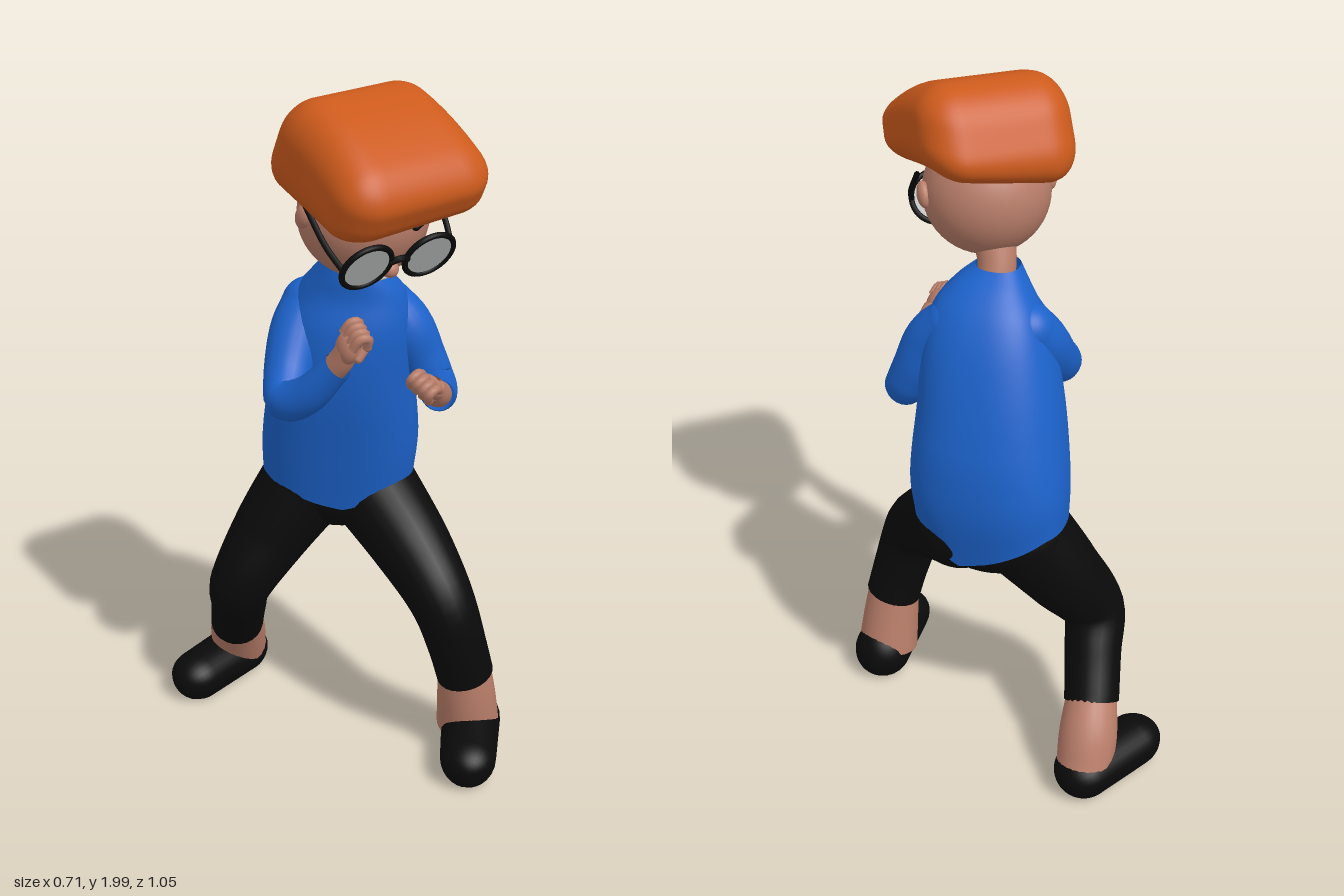
import * as THREE from 'three';
import { mergeVertices } from 'three/addons/utils/BufferGeometryUtils.js';

const mat = (color) => new THREE.MeshStandardMaterial({ color, side: THREE.DoubleSide });
const SKIN = mat(0xb87d69), BLUE = mat(0x1c62ca), BLACK = mat(0x0a0a0a);
const HAIR = mat(0xcc5a1c), LENS = mat(0xb8bcba), WHITE = mat(0xe6e0e0), LIP = mat(0x7a3a38);
const V = (x, y, z) => new THREE.Vector3(x, y, z);
const YAW = -0.74; // the body is turned towards its right

function add(parent, name, geo, material, pos = [0, 0, 0], scale = [1, 1, 1]) {
  const m = new THREE.Mesh(geo, material);
  m.name = name;
  m.position.set(...pos);
  m.scale.set(...scale);
  parent.add(m);
  return m;
}

const ball = (parent, name, material, pos, scale) =>
  add(parent, name, new THREE.SphereGeometry(1, 32, 24), material, pos, scale);

// move every vertex by a rule, then smooth the normals
function reshape(geo, rule) {
  const p = geo.attributes.position, v = V(0, 0, 0);
  for (let i = 0; i < p.count; i++) {
    v.fromBufferAttribute(p, i);
    rule(v, i);
    p.setXYZ(i, v.x, v.y, v.z);
  }
  geo.deleteAttribute('normal');
  geo.deleteAttribute('uv');
  const out = mergeVertices(geo, 1e-5);
  out.computeVertexNormals();
  return out;
}

// tube with changing thickness; rows are [x, y, z, radius], start is rounded
function limb(parent, name, material, rows) {
  const n = 28, sides = 24;
  const curve = new THREE.CatmullRomCurve3(rows.map((r) => V(r[0], r[1], r[2])));
  const radii = new THREE.CatmullRomCurve3(rows.map((r, i) => V(r[3], i, 0)), false, 'catmullrom');
  const geo = reshape(new THREE.TubeGeometry(curve, n, 1, sides), (v, i) => {
    const u = Math.floor(i / (sides + 1)) / n;
    const c = curve.getPointAt(u);
    v.sub(c).multiplyScalar(radii.getPoint(curve.getUtoTmapping(u)).x).add(c);
  });
  const g = new THREE.Group();
  g.name = name;
  parent.add(g);
  add(g, name + 'Tube', geo, material);
  const [x, y, z, r] = rows[0];
  ball(g, name + 'Joint', material, [x, y, z], [r, r, r]);
}

// sweater body: stacked soft rectangles, hem pointed at front and back
function torso(parent) {
  const rows = [ // y, centre x, centre z, half width, half depth
    [0.825, 0.057, -0.1, 0.218, 0.16], [0.95, 0.055, -0.087, 0.222, 0.177],
    [1.15, 0.033, -0.047, 0.2, 0.172], [1.31, 0.025, -0.01, 0.178, 0.148],
    [1.41, 0.02, 0.01, 0.148, 0.112], [1.47, 0, 0.03, 0.105, 0.085], [1.515, -0.028, 0.045, 0.06, 0.055],
  ];
  const a = new THREE.CatmullRomCurve3(rows.map((r) => V(r[0], r[1], r[2])), false, 'catmullrom');
  const b = new THREE.CatmullRomCurve3(rows.map((r) => V(r[3], r[4], 0)), false, 'catmullrom');
  const point = (angle, depth) => depth * Math.max(0, 1 - Math.abs(angle) / 1.2);
  const soft = (k) => Math.sign(k) * Math.abs(k) ** 0.84;
  const geo = reshape(new THREE.CylinderGeometry(1, 1, 1, 60, 36, true), (v) => {
    const t = v.y + 0.5, c = a.getPoint(t), s = b.getPoint(t), low = Math.max(0, 1 - t * 4);
    const dip = low * (point(Math.atan2(v.x, v.z) - 0.1, 0.075) + point(Math.atan2(v.x, -v.z) - 0.2, 0.115));
    const p = V(soft(v.x) * s.x, 0, soft(v.z) * s.y).applyAxisAngle(V(0, 1, 0), YAW);
    v.set(c.y + p.x, c.x - dip, c.z + p.z);
    v.lerp(V(0.057, v.y, -0.1), dip * 1.3);
  });
  add(parent, 'sweaterBody', geo, BLUE);
}

// soft shoe from heel to toe, flat underneath
function shoe(parent, name, heel, toe, heelRise) {
  const [hx, hz] = heel, [tx, tz] = toe;
  const len = Math.hypot(tx - hx, tz - hz), r = 0.087;
  const cap = new THREE.CapsuleGeometry(r, len, 10, 28, 6).rotateX(Math.PI / 2);
  const geo = reshape(cap, (v) => {
    const t = THREE.MathUtils.clamp(v.z / len + 0.5, 0, 1);
    v.y = v.y < 0 ? Math.max(v.y, -0.072 + 0.1 * (v.x * v.x + Math.max(0, Math.abs(v.z) - len / 2) ** 2) / r)
      : v.y * THREE.MathUtils.lerp(heelRise, 0.74, t);
    v.x *= 1 - 0.07 * t;
  });
  const m = add(parent, name, geo, BLACK, [(hx + tx) / 2, 0.075, (hz + tz) / 2]);
  m.rotation.y = Math.atan2(tx - hx, tz - hz);
}

// loose fist: y runs along the forearm, fingers curl towards local +x
function fist(parent, name, pos, along, palm) {
  const g = new THREE.Group();
  g.name = name;
  const y = V(...along).normalize(), z = V(...palm).cross(y).normalize();
  const x = y.clone().cross(z);
  g.quaternion.setFromRotationMatrix(new THREE.Matrix4().makeBasis(x, y, z));
  g.position.set(...pos);
  parent.add(g);
  ball(g, 'palm', SKIN, [0, -0.008, 0], [0.027, 0.045, 0.042]);
  for (let i = 0; i < 4; i++) {
    const s = (i - 1.5) * 0.021;
    const path = new THREE.CatmullRomCurve3([
      V(-0.008, 0.015, s), V(0.002, 0.05, s), V(0.024, 0.052, s), V(0.032, 0.024, s)]);
    add(g, 'finger' + (i + 1), new THREE.TubeGeometry(path, 10, 0.0125, 10), SKIN);
    ball(g, 'fingerTip' + (i + 1), SKIN, [0.032, 0.024, s], [0.0125, 0.0125, 0.0125]);
  }
  const thumb = add(g, 'thumb', new THREE.CapsuleGeometry(0.012, 0.035, 6, 12), SKIN, [0.024, 0.004, 0.034]);
  thumb.rotation.set(-0.4, 0, -0.5);
}

function head(parent) {
  const g = new THREE.Group();
  g.name = 'head';
  g.position.set(-0.04, 1.68, 0.15);
  g.rotation.set(0.5, -0.08, 0, 'YXZ');
  parent.add(g);
  ball(g, 'skull', SKIN, [0, 0, 0], [0.174, 0.17, 0.166]);
  ball(g, 'nose', SKIN, [0, -0.04, 0.165], [0.024, 0.022, 0.026]);

  // swept hair: soft block, lower edge rising to the front, fuller on its right
  const w = 0.438, h = 0.26, d = 0.445, r = 0.1;
  const inner = V(w / 2 - r, h / 2 - r, d / 2 - r), core = V(0, 0, 0);
  const hair = reshape(new THREE.BoxGeometry(w, h, d, 24, 18, 24), (v) => {
    core.copy(v).clamp(inner.clone().negate(), inner);
    v.sub(core).setLength(r).add(core);
    const f = THREE.MathUtils.clamp(v.z / d + 0.5, 0, 1), t = v.y / h + 0.5, s = v.x / w;
    const low = -0.04 + 0.15 * Math.pow(f, 0.75 - 0.7 * s) + 0.04 * s * f;
    const top = 0.262 + 0.03 * Math.sin(Math.PI * f) + 0.012 * f;
    v.y = low + t * (top - low);
    v.x *= 0.96 + 0.06 * f - 0.03 * t;
    v.z -= 0.012 * f;
  });
  add(g, 'hair', hair, HAIR, [0, 0, -0.001]).rotation.y = 0.06;

  // glasses, ears and brows, one of each per side
  for (const s of [-1, 1]) {
    const side = s > 0 ? 'left' : 'right';
    add(g, side + 'Rim', new THREE.TorusGeometry(0.069, 0.008, 10, 40), BLACK, [s * 0.092, 0.008, 0.185]);
    const lens = add(g, side + 'Lens', new THREE.CylinderGeometry(0.068, 0.068, 0.005, 36), LENS, [s * 0.092, 0.008, 0.185]);
    lens.rotation.x = Math.PI / 2;
    const arm = new THREE.CatmullRomCurve3([V(s * 0.16, 0.012, 0.185), V(s * 0.178, 0.03, 0.11), V(s * 0.187, 0.066, -0.02)]);
    add(g, side + 'Temple', new THREE.TubeGeometry(arm, 16, 0.008, 8), BLACK);
    ball(g, side + 'Ear', SKIN, [s * 0.176, 0.012, -0.01], [0.018, 0.036, 0.024]);
    const brow = add(g, side + 'Brow', new THREE.CapsuleGeometry(0.01, 0.06, 6, 12), BLACK, [s * 0.075, 0.085, 0.137]);
    brow.rotation.set(0, s * 0.45, Math.PI / 2 + s * 0.1);
  }
  const bridge = new THREE.CatmullRomCurve3([V(-0.026, 0.012, 0.187), V(0, 0.024, 0.192), V(0.026, 0.012, 0.187)]);
  add(g, 'bridge', new THREE.TubeGeometry(bridge, 10, 0.009, 8), BLACK);

  ball(g, 'lips', LIP, [0, -0.09, 0.135], [0.055, 0.02, 0.016]).rotation.x = 0.6;
  ball(g, 'teeth', WHITE, [0, -0.09, 0.141], [0.044, 0.011, 0.014]).rotation.x = 0.6;
}

export function createModel() {
  const model = new THREE.Group();
  model.name = 'crouchingFigure';

  head(model);
  limb(model, 'neck', SKIN, [[-0.01, 1.45, 0.03, 0.052], [-0.026, 1.51, 0.05, 0.052], [-0.035, 1.58, 0.09, 0.06]]);
  torso(model);
  ball(model, 'pelvis', BLACK, [0.057, 0.79, -0.1], [0.205, 0.15, 0.145]).rotation.y = YAW;

  // sleeves, shoulder to wrist
  limb(model, 'leftSleeve', BLUE, [[0.11, 1.36, 0.045, 0.074], [0.148, 1.3, 0.085, 0.077], [0.188, 1.21, 0.108, 0.068],
    [0.212, 1.135, 0.145, 0.057], [0.165, 1.145, 0.22, 0.051], [0.105, 1.18, 0.295, 0.042]]);
  limb(model, 'rightSleeve', BLUE, [[-0.066, 1.365, -0.065, 0.074], [-0.115, 1.3, -0.05, 0.075], [-0.185, 1.2, 0.005, 0.065],
    [-0.225, 1.165, 0.06, 0.057], [-0.208, 1.2, 0.13, 0.052], [-0.165, 1.305, 0.215, 0.04]]);
  limb(model, 'leftWrist', SKIN, [[0.12, 1.172, 0.275, 0.036], [0.08, 1.2, 0.315, 0.036], [0.04, 1.235, 0.345, 0.034]]);
  limb(model, 'rightWrist', SKIN, [[-0.172, 1.29, 0.2, 0.034], [-0.162, 1.325, 0.225, 0.034], [-0.158, 1.36, 0.245, 0.03]]);
  fist(model, 'leftFist', [0.022, 1.253, 0.36], [-0.6, 0.6, 0.5], [-0.9, -0.5, 0]);
  fist(model, 'rightFist', [-0.158, 1.372, 0.25], [0.1, 0.85, 0.4], [1, -0.1, 0.15]);

  // trouser legs, hip to cuff
  limb(model, 'leftTrouser', BLACK, [[0.125, 0.77, -0.045, 0.135], [0.137, 0.64, 0.155, 0.113], [0.145, 0.525, 0.285, 0.093],
    [0.178, 0.39, 0.315, 0.085], [0.21, 0.275, 0.32, 0.083]]);
  limb(model, 'rightTrouser', BLACK, [[-0.015, 0.77, -0.155, 0.135], [-0.12, 0.62, -0.19, 0.116], [-0.218, 0.465, -0.212, 0.092],
    [-0.192, 0.36, -0.27, 0.083], [-0.155, 0.24, -0.345, 0.08]]);

  // bare ankles and shoes
  limb(model, 'leftAnkle', SKIN, [[0.207, 0.3, 0.32, 0.075], [0.222, 0.2, 0.315, 0.085], [0.24, 0.09, 0.305, 0.092]]);
  limb(model, 'rightAnkle', SKIN, [[-0.16, 0.26, -0.335, 0.073], [-0.122, 0.17, -0.395, 0.085], [-0.092, 0.08, -0.435, 0.082]]);
  shoe(model, 'leftShoe', [0.264, 0.292], [0.135, 0.438], 1.12);
  shoe(model, 'rightShoe', [-0.088, -0.44], [-0.275, -0.385], 0.8);
  return model;
}
